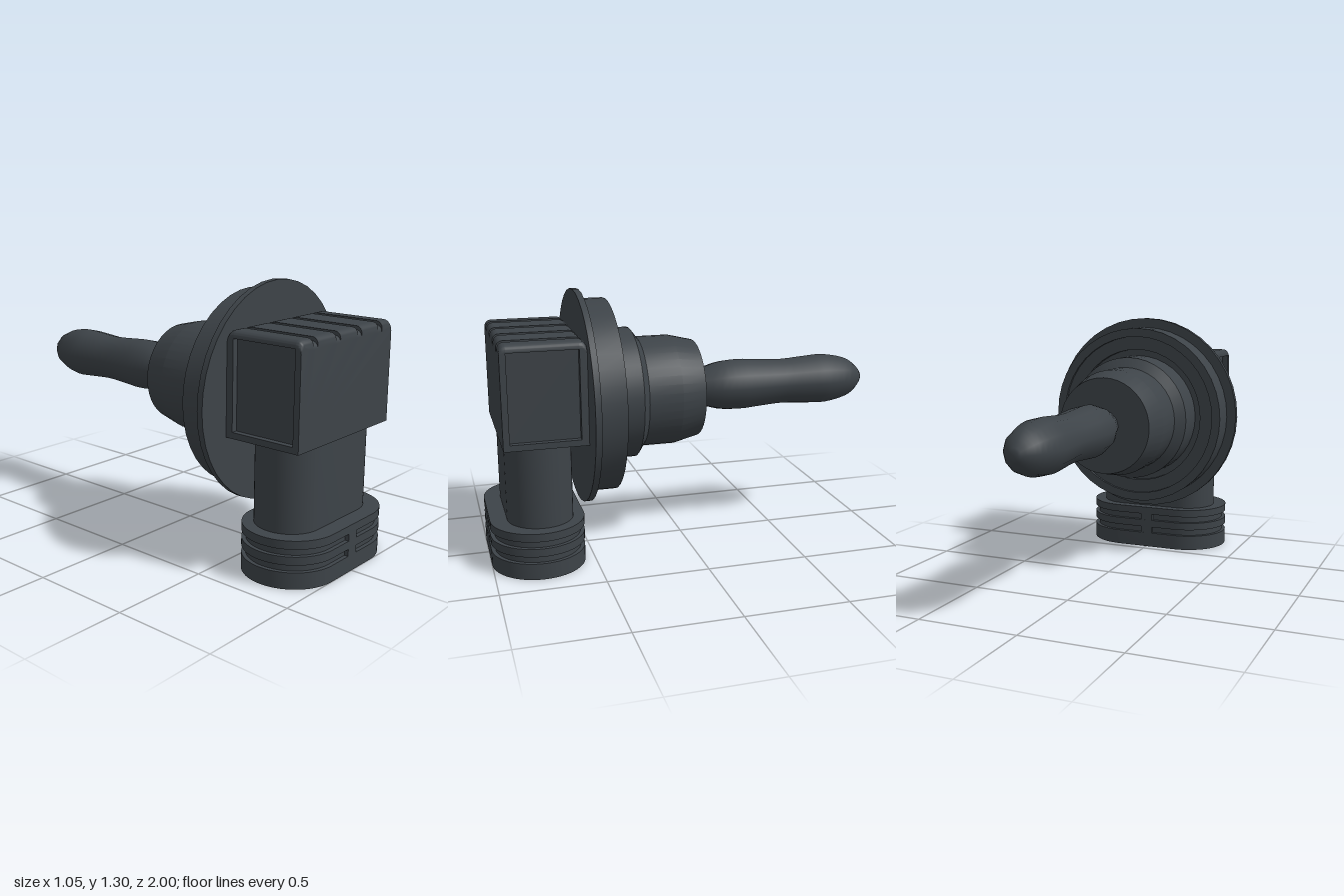
import * as THREE from 'three';
import { toCreasedNormals } from 'three/addons/utils/BufferGeometryUtils.js';

const AXIS_Y = 0.78; // height of the round body's axis
const charcoal = new THREE.MeshStandardMaterial({ color: 0x3d4348 });
charcoal.name = 'charcoal plastic';

function add(parent, name, geometry, x = 0, y = 0, z = 0) {
  const mesh = new THREE.Mesh(geometry, charcoal);
  mesh.name = name;
  mesh.position.set(x, y, z);
  parent.add(mesh);
  return mesh;
}

// Solid of revolution about z from [radius, z] pairs
function lathe(points, sides) {
  const g = new THREE.LatheGeometry(points.map(([r, z]) => new THREE.Vector2(r, z)), sides);
  return g.rotateX(Math.PI / 2);
}

// Stadium outline with semicircular ends
function stadium(half, r, PathType = THREE.Shape) {
  const p = new PathType();
  p.moveTo(-half, -r);
  p.lineTo(half, -r);
  p.absarc(half, 0, r, -Math.PI / 2, Math.PI / 2, false);
  p.lineTo(-half, r);
  p.absarc(-half, 0, r, Math.PI / 2, Math.PI * 1.5, false);
  return p;
}

// Upright stadium prism, optionally hollow
function stadiumPrism(half, r, height, inner = 0) {
  const shape = stadium(half, r);
  if (inner) shape.holes.push(stadium(half, inner, THREE.Path));
  const g = new THREE.ExtrudeGeometry(shape, { depth: height, bevelEnabled: false, curveSegments: 14 });
  return toCreasedNormals(g.rotateX(-Math.PI / 2), 0.6);
}

// Housing outline: rounded top corners, four top grooves, optional side recesses
function housingShape(recessed) {
  const s = new THREE.Shape(), w = 0.36, top = 1.12, r = 0.03, inX = 0.33;
  const side = (k, ys) => {
    if (recessed) for (const [x, y] of ys) s.lineTo(k * x, y);
  };
  const recess = [[w, 0.66], [inX, 0.66], [inX, 1.085], [w, 1.085]];
  s.moveTo(-w, 0.63);
  s.lineTo(w, 0.63);
  side(1, recess);
  s.lineTo(w, top - r);
  s.absarc(w - r, top - r, r, 0, Math.PI / 2, false);
  for (const x of [0.257, 0.085, -0.085, -0.257]) {
    s.lineTo(x + 0.017, top);
    s.lineTo(x + 0.017, top - 0.018);
    s.lineTo(x - 0.017, top - 0.018);
    s.lineTo(x - 0.017, top);
  }
  s.lineTo(-w + r, top);
  s.absarc(-w + r, top - r, r, Math.PI / 2, Math.PI, false);
  side(-1, [...recess].reverse());
  return s;
}

// One slab of the housing; direction +1 or -1 rounds its top edge towards that end
function housingSlab(z0, z1, direction) {
  const depth = z1 - z0;
  const g = new THREE.ExtrudeGeometry(housingShape(direction === 0), {
    depth, steps: direction ? 5 : 1, bevelEnabled: false, curveSegments: 5,
  });
  const p = g.attributes.position;
  for (let i = 0; direction && i < p.count; i++) {
    const t = direction > 0 ? p.getZ(i) / depth : 1 - p.getZ(i) / depth;
    const a = t * Math.PI / 2, u = Math.sin(a);
    p.setZ(i, depth * (direction > 0 ? u : 1 - u));
    if (p.getY(i) > 1.08) p.setY(i, p.getY(i) - 0.03 * (1 - Math.cos(a)));
  }
  return toCreasedNormals(g.translate(0, 0, z0), 0.6);
}

export function createModel() {
  const model = new THREE.Group();
  model.name = 'bulbWithSocket';

  // Stepped round body with a grooved seat and thin flange
  const body = lathe([
    [0, -0.065], [0.245, -0.065], [0.275, 0.06], [0.275, 0.228],
    [0.325, 0.265], [0.325, 0.42], [0.36, 0.42], [0.36, 0.395], [0.43, 0.395],
    [0.43, 0.38], [0.475, 0.38], [0.475, 0.51], [0.525, 0.51], [0.525, 0.54], [0, 0.54],
  ], 40);
  add(model, 'socketBody', toCreasedNormals(body, 0.25), 0, AXIS_Y, 0);

  // Peanut-shaped bulb
  const curve = new THREE.SplineCurve([
    [0.02, -1], [0.065, -0.965], [0.105, -0.9], [0.13, -0.78], [0.127, -0.68], [0.118, -0.54],
    [0.126, -0.4], [0.132, -0.3], [0.122, -0.19], [0.08, -0.065], [0.075, -0.05],
  ].map(([r, z]) => new THREE.Vector2(r, z)));
  const profile = curve.getPoints(30).map((v) => [v.x, v.y]);
  add(model, 'bulb', lathe([[0, -1], ...profile], 12), 0, AXIS_Y, 0);

  // Housing with framed side recesses
  const housing = new THREE.Group();
  housing.name = 'housing';
  model.add(housing);
  add(housing, 'housingBack', housingSlab(0.54, 0.575, -1));
  add(housing, 'housingMiddle', housingSlab(0.575, 0.905, 0));
  add(housing, 'housingFront', housingSlab(0.905, 0.935, 1));

  // Neck
  add(model, 'neck', stadiumPrism(0.168, 0.16, 0.42), 0, 0.22, 0.758);

  // Hollow connector with ribs and two vertical bars
  const plug = new THREE.Group();
  plug.name = 'connector';
  plug.position.z = 0.772;
  model.add(plug);
  const half = 0.165, outer = 0.228, cavity = 0.193;
  add(plug, 'lowerRim', stadiumPrism(half, outer, 0.08, cavity));
  add(plug, 'middleRib', stadiumPrism(half, outer, 0.04, cavity), 0, 0.115);
  add(plug, 'shoulder', stadiumPrism(half, outer, 0.04), 0, 0.19);
  for (const y of [0.08, 0.155]) add(plug, 'groove', stadiumPrism(half, 0.208, 0.035, cavity), 0, y);
  for (const k of [-1, 1]) {
    add(plug, 'bar', new THREE.BoxGeometry(0.066, 0.11, 0.024), 0, 0.135, k * (outer - 0.0122));
  }

  // Contact tongue inside the connector
  add(plug, 'contactTongue', new THREE.BoxGeometry(0.3, 0.07, 0.05), 0, 0.16, 0);
  return model;
}
